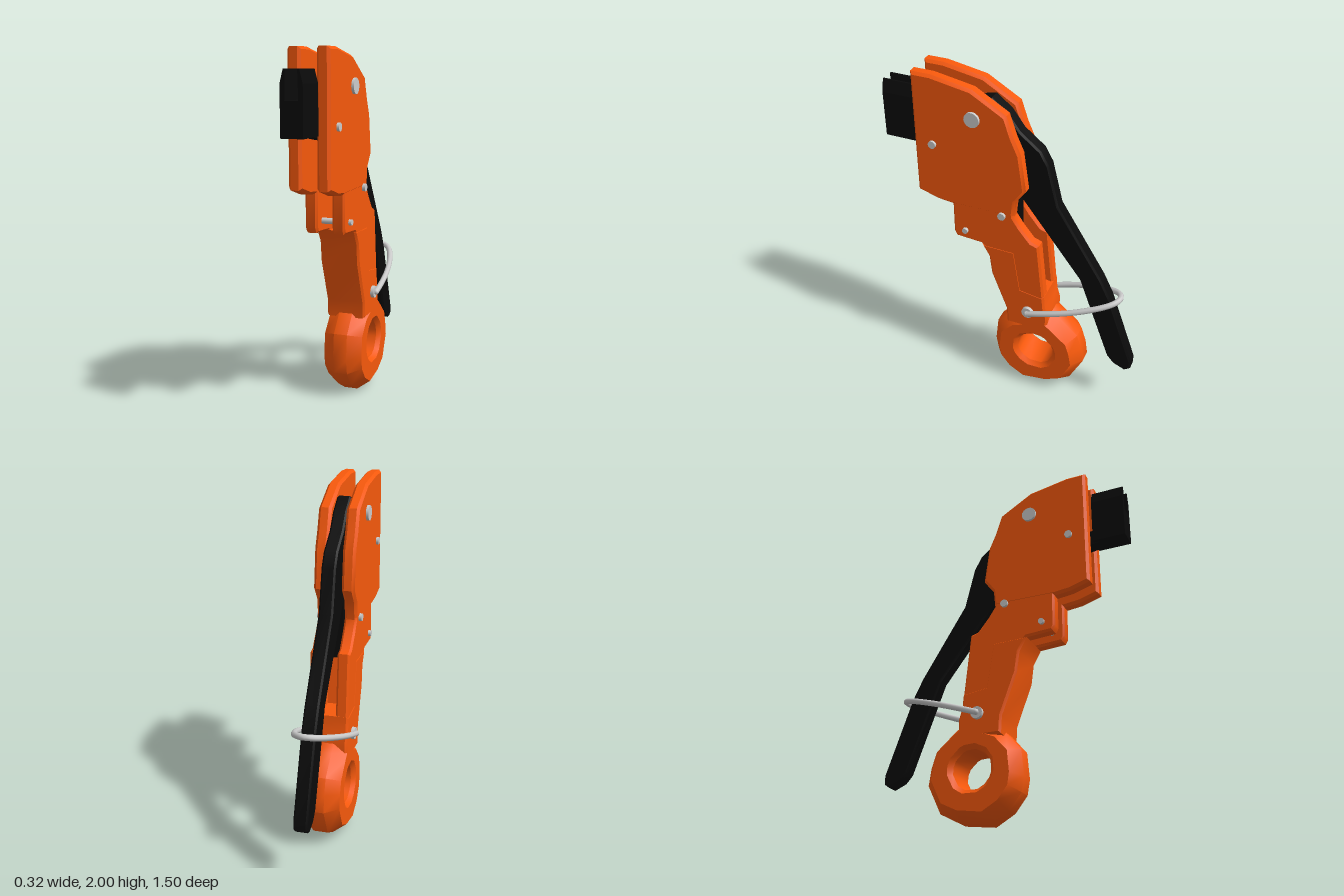
import * as THREE from 'three';
import { toCreasedNormals } from 'three/addons/utils/BufferGeometryUtils.js';

const orange = new THREE.MeshStandardMaterial({ color: 0xf7590c });
const black = new THREE.MeshStandardMaterial({ color: 0x0b0b0b });
const grey = new THREE.MeshStandardMaterial({ color: 0xcccccc });

const toShape = (pts) => new THREE.Shape(pts.map(([a, b]) => new THREE.Vector2(a, b)));

// Side profile in (z, y), extruded across x from x0 to x1 with a small bevel
function slab(name, pts, x0, x1, bevel, material, crease = 0.6) {
  const geo = new THREE.ExtrudeGeometry(toShape(pts), {
    depth: x1 - x0 - 2 * bevel, bevelEnabled: bevel > 0, bevelThickness: bevel,
    bevelSize: bevel, bevelOffset: -bevel, bevelSegments: 1,
  });
  geo.translate(0, 0, bevel - x1);
  geo.rotateY(-Math.PI / 2);
  const mesh = new THREE.Mesh(toCreasedNormals(geo, crease), material);
  mesh.name = name;
  return mesh;
}

// Faceted eye: an eight-point section swept round an uneven outline
function eyeGeometry() {
  const cz = -0.165, cy = 0.295;
  const outline = [
    [0.115, 0.24], [0.1, 0.39], [0.01, 0.495], [-0.12, 0.55], [-0.245, 0.575], [-0.295, 0.54], [-0.41, 0.44],
    [-0.44, 0.35], [-0.455, 0.25], [-0.375, 0.085], [-0.26, 0.025], [-0.08, 0.002], [0.03, 0.065], [0.1, 0.155],
  ];
  const pos = [], index = [], n = outline.length;
  outline.forEach(([z, y], i) => {
    const r = Math.hypot(z - cz, y - cy), a = Math.atan2(y - cy, z - cz);
    const section = [
      [r, -0.04], [r, 0.04], [r - 0.055, 0.115], [0.14, 0.115],
      [0.115, 0.09], [0.115, -0.09], [0.14, -0.115], [r - 0.055, -0.115],
    ];
    section.forEach(([d, x], s) => {
      pos.push(x, cy + d * Math.sin(a), cz + d * Math.cos(a));
      const j = (i + 1) % n, t = (s + 1) % 8;
      const p = i * 8 + s, q = i * 8 + t, u = j * 8 + t, v = j * 8 + s;
      index.push(p, q, u, p, u, v);
    });
  });
  const geo = new THREE.BufferGeometry();
  geo.setAttribute('position', new THREE.Float32BufferAttribute(pos, 3));
  geo.setIndex(index);
  return toCreasedNormals(geo, 0.7);
}

export function createModel() {
  const model = new THREE.Group();
  model.name = 'clampHandle';

  // Paired cheek plates: head above, lug and rear of the grip below
  const head = [
    [0.545, 2], [0.43, 2], [0.2, 1.96], [0.01, 1.85], [-0.03, 1.73], [-0.07, 1.64], [-0.1, 1.42],
    [-0.04, 1.34], [-0.03, 1.24], [0.34, 1.235], [0.43, 1.245], [0.545, 1.28],
  ];
  const lug = [
    [0.335, 1.28], [-0.03, 1.28], [-0.03, 1.24], [-0.07, 1.18], [-0.135, 1.1], [-0.18, 1.085], [-0.225, 0.65],
    [-0.05, 0.65], [0.08, 0.8], [0.1, 0.93], [0.165, 1.01], [0.32, 1.02], [0.335, 1.05],
  ];
  for (const side of [1, -1]) {
    const [a, b] = side > 0 ? [0.042, 0.115] : [-0.115, -0.042];
    const word = side > 0 ? 'left' : 'right';
    model.add(slab(word + 'HeadCheek', head, a, b, 0.015, orange));
    model.add(slab(word + 'LugCheek', lug, a + (side < 0 ? 0.002 : 0), b - (side > 0 ? 0.002 : 0), 0.012, orange));
  }

  // Solid grip, notched at the back for the slot
  model.add(slab('grip', [
    [0.165, 1.01], [0.12, 0.93], [0.105, 0.81], [0.015, 0.57], [0.01, 0.47], [-0.24, 0.47], [-0.245, 0.58],
    [-0.225, 0.65], [-0.218, 0.73], [-0.08, 0.75], [-0.04, 1.01],
  ], -0.115, 0.115, 0.012, orange));
  const eye = new THREE.Mesh(eyeGeometry(), orange);
  eye.name = 'eyeRing';
  model.add(eye);

  // Lever with its bent tail, and the linkage between the cheeks
  model.add(slab('lever', [
    [0.2, 1.88], [0.12, 1.9], [0.03, 1.83], [-0.04, 1.735], [-0.155, 1.645], [-0.2, 1.565], [-0.26, 1.325],
    [-0.525, 0.905], [-0.585, 0.785], [-0.745, 0.345], [-0.745, 0.295], [-0.71, 0.27], [-0.64, 0.3],
    [-0.6, 0.345], [-0.405, 0.865], [-0.04, 1.34], [0.1, 1.5], [0.2, 1.72],
  ], -0.04, 0.04, 0.01, black));
  model.add(slab('linkPlate', [[0.03, 1.6], [-0.03, 1.6], [-0.03, 1], [0.03, 1]], -0.038, 0.038, 0, black));
  model.add(slab('jawArm', [[0.6, 1.56], [0.6, 1.64], [0, 1.64], [0, 1.4], [0.2, 1.5]], -0.038, 0.038, 0, black));

  // Grooved jaw block, its front profile extruded along z
  const jawGeo = new THREE.ExtrudeGeometry(toShape([
    [-0.06, 1.56], [0.06, 1.56], [0.06, 1.82], [0.042, 1.89], [0.032, 1.89], [0.036, 1.74],
    [-0.036, 1.74], [-0.032, 1.89], [-0.042, 1.89], [-0.06, 1.82],
  ]), { depth: 0.19, bevelEnabled: false });
  const jaw = new THREE.Mesh(jawGeo.translate(0, 0, 0.56), black);
  jaw.name = 'jaw';
  model.add(jaw);

  // Cross pins: z, y, radius, half length
  const pins = [
    [0.195, 1.8, 0.043, 0.13], [0.435, 1.6, 0.022, 0.13], [0.035, 1.24, 0.022, 0.13],
    [0.26, 1.08, 0.017, 0.13], [-0.125, 0.6, 0.035, 0.135],
  ];
  for (const [z, y, r, half] of pins) {
    const pin = new THREE.Mesh(new THREE.CylinderGeometry(r, r, half * 2, 16), grey);
    pin.rotation.z = Math.PI / 2;
    pin.position.set(0, y, z);
    pin.name = 'crossPin';
    model.add(pin);
  }

  // Wire bail that loops round the lever
  const half = [[0.14, -0.125], [0.143, -0.2], [0.14, -0.32], [0.122, -0.44], [0.08, -0.57], [0.04, -0.625]];
  const path = [...half, [0, -0.64], ...half.slice().reverse().map(([x, z]) => [-x, z])];
  const curve = new THREE.CatmullRomCurve3(
    path.map(([x, z]) => new THREE.Vector3(x, 0.6 + (-0.125 - z) * 0.35, z)));
  const bail = new THREE.Mesh(new THREE.TubeGeometry(curve, 48, 0.017, 8), grey);
  bail.name = 'wireBail';
  model.add(bail);
  for (const side of [1, -1]) {
    const tip = new THREE.Mesh(new THREE.SphereGeometry(0.017, 8, 6), grey);
    tip.position.set(side * 0.14, 0.6, -0.125);
    tip.name = 'bailEnd';
    model.add(tip);
  }
  return model;
}
